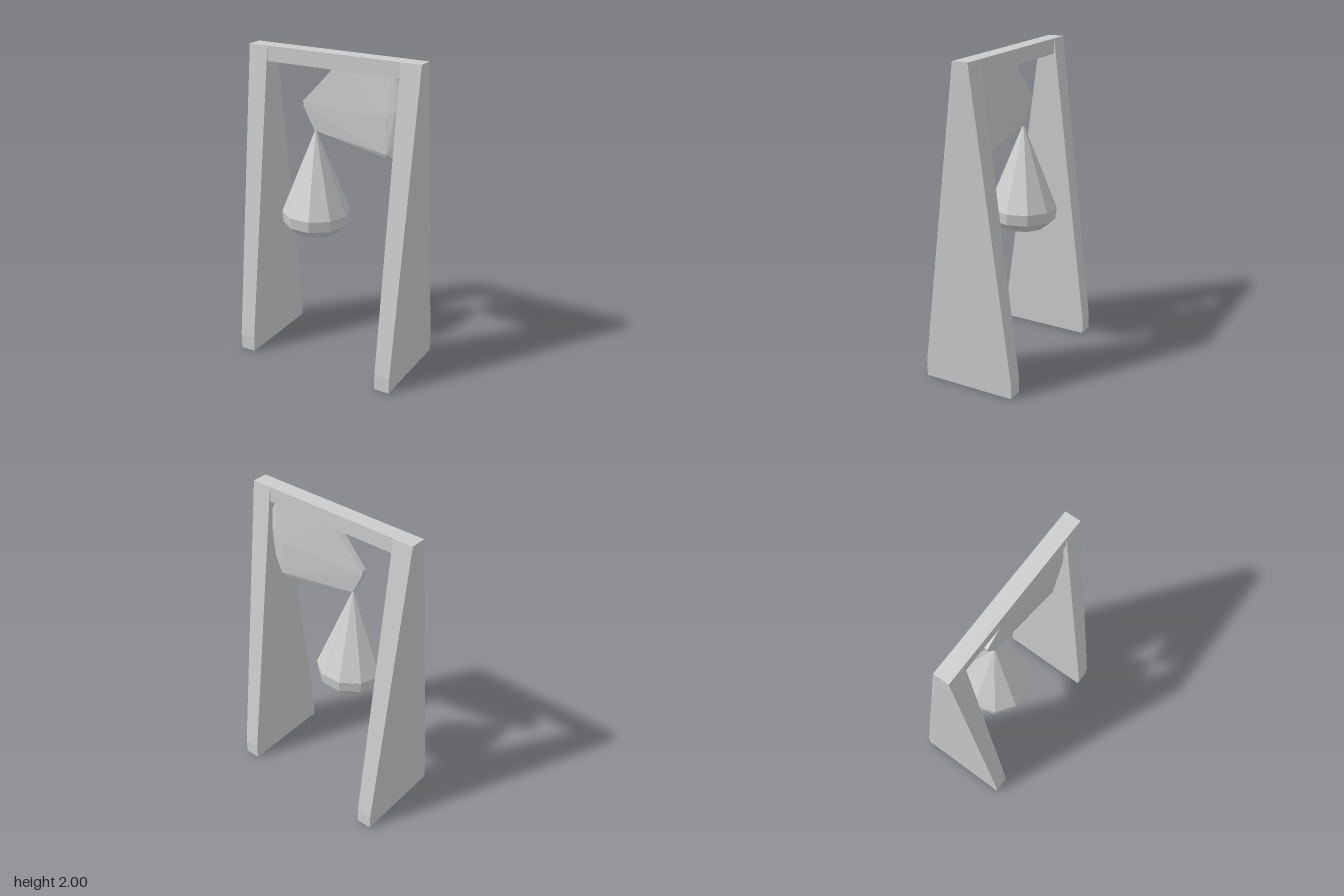
import * as THREE from 'three';
import { ConvexGeometry } from 'three/addons/geometries/ConvexGeometry.js';

export function createModel() {
  const model = new THREE.Group();
  const grey = new THREE.MeshStandardMaterial({ color: 0xcccccc, flatShading: true });
  grey.name = 'plain grey';

  const add = (name, geometry) => {
    const mesh = new THREE.Mesh(geometry, grey);
    mesh.name = name;
    model.add(mesh);
    return mesh;
  };

  // Side legs: [height, outer x, half depth] per level, flat on the inside
  const levels = [[0, 0.55, 0.3], [0.1, 0.552, 0.3], [1.9, 0.58, 0.05], [2, 0.58, 0.05]];
  for (const side of [1, -1]) {
    const corners = [];
    for (const [y, outer, depth] of levels) {
      for (const z of [depth, -depth]) {
        corners.push(new THREE.Vector3(side * 0.45, y, z), new THREE.Vector3(side * outer, y, z));
      }
    }
    add(side > 0 ? 'leftLeg' : 'rightLeg', new ConvexGeometry(corners));
  }

  // Crossbar joining the tops of the legs
  add('crossbar', new THREE.BoxGeometry(1.16, 0.095, 0.1)).position.y = 1.9525;

  // Hanging slab, thicker towards the leg: [x, y, half depth]
  const slab = [
    [0.0, 1.91, 0.022], [0.03, 1.94, 0.03], [-0.22, 1.68, 0.016], [-0.22, 1.65, 0.016],
    [-0.145, 1.5, 0.008], [0.36, 1.415, 0.035], [0.4, 1.42, 0.03], [0.455, 1.53, 0.025],
    [0.37, 1.44, 0.047], [0.36, 1.66, 0.056], [0.43, 1.72, 0.053],
    [0.48, 1.65, 0.03], [0.48, 1.8, 0.035], [0.4, 1.94, 0.047],
  ];
  add('hangingSlab', new ConvexGeometry(
    slab.flatMap(([x, y, d]) => [new THREE.Vector3(x, y, d), new THREE.Vector3(x, y, -d)])
  ));

  // Ten-sided drop-shaped bag hanging from the slab's corner
  const profile = [[0, 0.845], [0.155, 0.845], [0.21, 0.9], [0.218, 0.972], [0, 1.51]];
  const bag = add('hangingBag', new THREE.LatheGeometry(
    profile.map(([r, y]) => new THREE.Vector2(r, y)), 10, Math.PI / 10
  ));
  bag.position.x = -0.142;

  return model;
}
